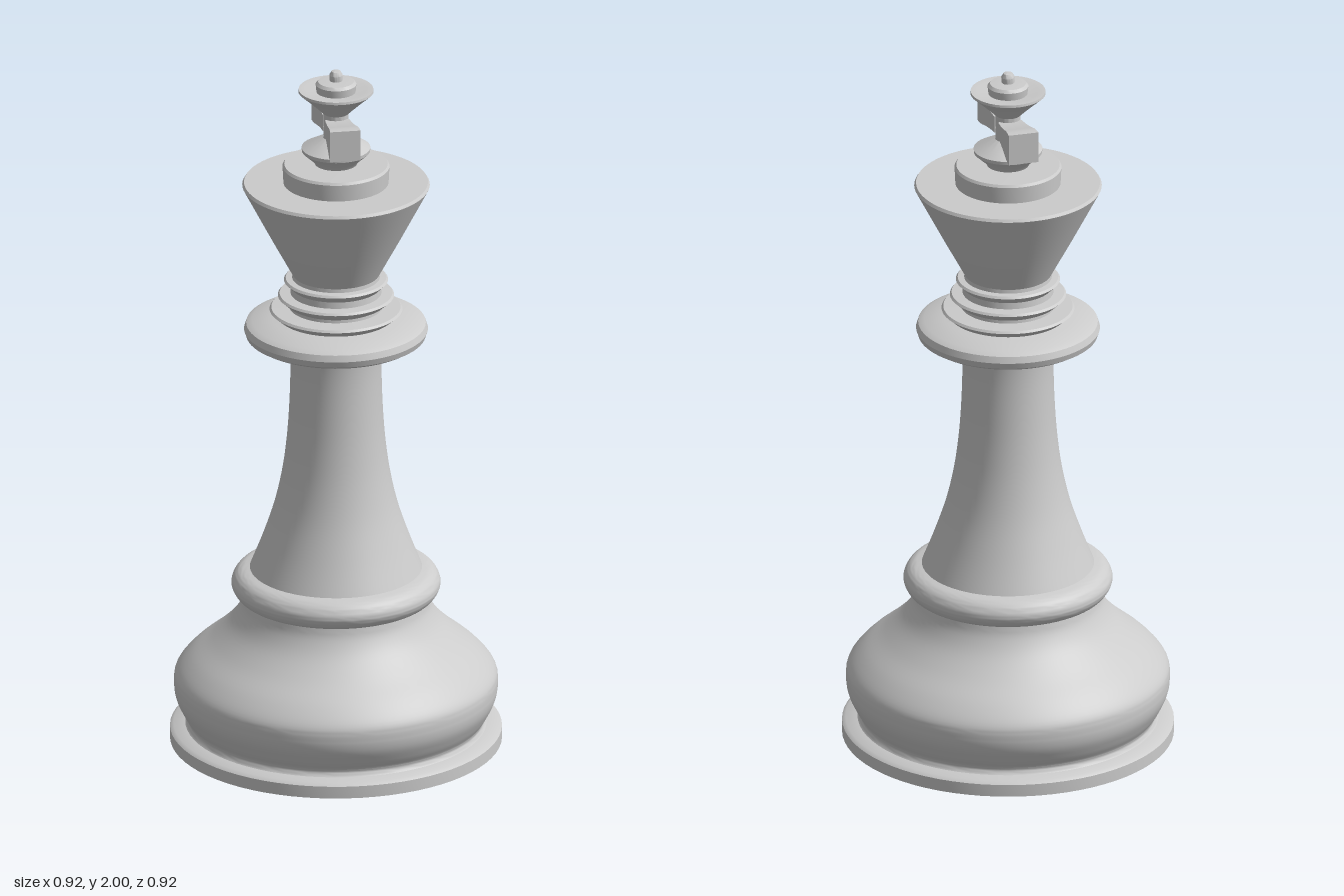
import * as THREE from 'three';
import { toCreasedNormals } from 'three/addons/utils/BufferGeometryUtils.js';

const material = new THREE.MeshStandardMaterial({ color: 0xcccccc });

function addMesh(group, name, geometry, crease = 0.6) {
  const mesh = new THREE.Mesh(toCreasedNormals(geometry, crease), material);
  mesh.name = name;
  group.add(mesh);
  return mesh;
}

// Turned part from [radius, height] pairs, bottom to top
function turned(group, name, profile, smoothSteps = 0, sides = 72) {
  let points = profile.map(([r, y]) => new THREE.Vector2(r, y));
  if (smoothSteps) points = new THREE.SplineCurve(points).getPoints(smoothSteps);
  return addMesh(group, name, new THREE.LatheGeometry(points, sides));
}

// Arm of the cross: box along z that flares towards its tip
function crossArm() {
  const inner = 0.02, outer = 0.163;
  const geometry = new THREE.BoxGeometry(1, 1, 1, 1, 1, 8);
  const p = geometry.attributes.position;
  for (let i = 0; i < p.count; i++) {
    const t = p.getZ(i) + 0.5;
    const flare = Math.min(1, t / 0.8) ** 1.6;
    const halfWidth = 0.034 + 0.009 * t;
    const halfHeight = 0.024 + 0.021 * flare;
    p.setXYZ(i, p.getX(i) * 2 * halfWidth, p.getY(i) * 2 * halfHeight, inner + t * (outer - inner));
  }
  return geometry;
}

export function createModel() {
  const king = new THREE.Group();
  king.name = 'chessKing';

  // Foot and belly
  turned(king, 'footPlate', [[0, 0], [0.462, 0], [0.462, 0.035], [0.452, 0.043], [0.4, 0.048]]);
  turned(king, 'belly', [
    [0.425, 0.04], [0.412, 0.06], [0.428, 0.09], [0.446, 0.13], [0.451, 0.17], [0.444, 0.205],
    [0.405, 0.25], [0.345, 0.3], [0.295, 0.35], [0.267, 0.395], [0.258, 0.43],
  ], 48);
  turned(king, 'bellyRing', [
    [0.255, 0.425], [0.277, 0.436], [0.291, 0.462], [0.284, 0.487], [0.265, 0.504], [0.235, 0.512],
  ], 24);

  // Shaft
  turned(king, 'shaft', [
    [0.242, 0.505], [0.205, 0.6], [0.172, 0.7], [0.15, 0.8], [0.137, 0.9],
    [0.13, 1.0], [0.127, 1.1], [0.13, 1.17], [0.138, 1.2],
  ], 40);

  // Collar and the stacked rings above it
  turned(king, 'collar', [
    [0.12, 1.196], [0.235, 1.198], [0.25, 1.207], [0.256, 1.225], [0.25, 1.243],
    [0.234, 1.252], [0.18, 1.262], [0.13, 1.27],
  ]);
  [[0.185, 1.265, 1.29], [0.162, 1.306, 1.332], [0.145, 1.35, 1.378]].forEach(([r, low, high], i) => {
    turned(king, 'neckRing' + (i + 1), [
      [r - 0.045, low - 0.012], [r - 0.022, low], [r, high - 0.006], [r - 0.005, high], [0.09, high + 0.004],
    ]);
  });
  turned(king, 'neckCore', [[0.135, 1.25], [0.12, 1.4]]);

  // Crown
  turned(king, 'crownCup', [
    [0.11, 1.37], [0.122, 1.392], [0.18, 1.5], [0.232, 1.6], [0.257, 1.648],
    [0.261, 1.656], [0.256, 1.664], [0, 1.664],
  ]);
  turned(king, 'crownDisk', [[0.146, 1.655], [0.149, 1.712], [0.144, 1.719], [0, 1.721]]);

  // Finial: double cone, stem, flared dish, button and pin
  turned(king, 'finialBase', [
    [0.056, 1.715], [0.064, 1.73], [0.095, 1.758], [0.096, 1.768], [0.07, 1.782], [0.036, 1.8],
  ], 0, 40);
  turned(king, 'finialStem', [[0.036, 1.79], [0.034, 1.83], [0.036, 1.88]], 0, 40);
  turned(king, 'finialDish', [
    [0.034, 1.87], [0.05, 1.886], [0.08, 1.914], [0.105, 1.936], [0.104, 1.943],
    [0.085, 1.942], [0.05, 1.935], [0, 1.935],
  ], 0, 40);
  turned(king, 'finialButton', [[0.054, 1.93], [0.057, 1.958], [0.05, 1.966], [0, 1.97]], 0, 32);
  turned(king, 'finialPin', [[0.017, 1.96], [0.019, 1.985], [0.013, 1.996], [0, 2.0]], 0, 20);

  // Cross arms to front and back
  for (const [name, turn] of [['frontCrossArm', 0], ['backCrossArm', Math.PI]]) {
    const arm = addMesh(king, name, crossArm());
    arm.position.y = 1.835;
    arm.rotation.y = turn;
  }
  return king;
}
